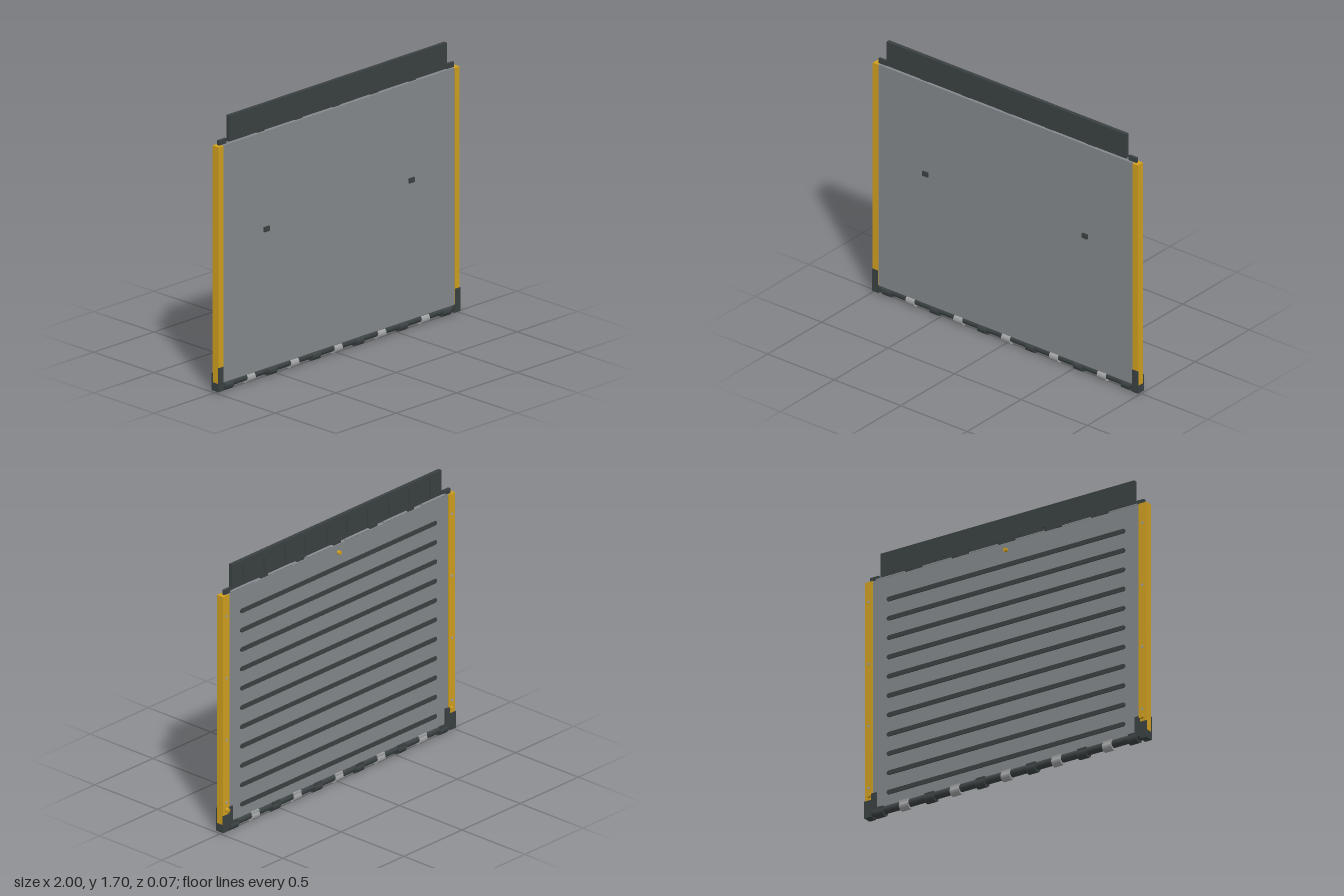
import * as THREE from 'three';

const mat = (name, color) => {
  const m = new THREE.MeshStandardMaterial({ color });
  m.name = name;
  return m;
};

export function createModel() {
  const panelGrey = mat('panel grey', 0x84888c);
  const darkGrey = mat('dark grey', 0x3a4142);
  const yellow = mat('rail yellow', 0xcf9f1f);
  const steel = mat('steel', 0xa0a2a3);
  const root = new THREE.Group();
  root.name = 'loadingPlatform';

  const add = (name, geo, material, x = 0, y = 0, z = 0, parent = root) => {
    const m = new THREE.Mesh(geo, material);
    m.name = name;
    m.position.set(x, y, z);
    parent.add(m);
    return m;
  };
  // box given by its limits
  const box = (name, material, x0, x1, y0, y1, z0, z1, parent = root) =>
    add(name, new THREE.BoxGeometry(Math.abs(x1 - x0), y1 - y0, z1 - z0), material,
      (x0 + x1) / 2, (y0 + y1) / 2, (z0 + z1) / 2, parent);
  const rodX = (r, len) => new THREE.CylinderGeometry(r, r, len, 20).rotateZ(Math.PI / 2);
  const rodZ = (r, len) => new THREE.CylinderGeometry(r, r, len, 16).rotateX(Math.PI / 2);

  // main plate
  box('platformPlate', panelGrey, -0.957, 0.957, 0.06, 1.53, -0.014, 0.025);

  // rounded stiffening ribs on the back
  const s = new THREE.Shape();
  const half = 0.83, r = 0.014;
  s.absarc(half, 0, r, -Math.PI / 2, Math.PI / 2);
  s.absarc(-half, 0, r, Math.PI / 2, Math.PI * 1.5);
  s.closePath();
  const ribGeo = new THREE.ExtrudeGeometry(s, { depth: 0.006, bevelEnabled: false, curveSegments: 6 });
  for (let i = 0; i < 11; i++) add('backRib', ribGeo, darkGrey, 0, 1.385 - i * 0.1245, -0.02);

  // latch knob on the back
  add('latchKnob', rodZ(0.012, 0.02), yellow, 0, 1.48, -0.023);

  for (const side of [-1, 1]) {
    const g = new THREE.Group();
    g.name = side > 0 ? 'leftRail' : 'rightRail';
    root.add(g);
    const b = (name, m, x0, x1, ...rest) => box(name, m, side * x0, side * x1, ...rest, g);

    // side rail with a wider back flange
    b('railBody', yellow, 0.957, 0.997, 0.06, 1.53, -0.021, 0.029);
    b('railFlange', yellow, 0.943, 0.957, 0.06, 1.53, -0.021, -0.014);
    for (const y of [0.2, 0.6, 1.0, 1.4]) add('railScrew', rodZ(0.008, 0.006), steel, side * 0.97, y, -0.022, g);

    // corner bracket: foot, front cheek and back cheek
    b('bracketFoot', darkGrey, 0.953, 1, 0.012, 0.062, -0.024, 0.03);
    b('bracketFront', darkGrey, 0.957, 1, 0.012, 0.16, 0.026, 0.031);
    b('bracketBack', darkGrey, 0.915, 0.952, 0.03, 0.16, -0.024, -0.014);
    b('bracketBackOuter', darkGrey, 0.952, 1, 0.03, 0.12, -0.024, -0.018);
    add('bracketPin', rodZ(0.014, 0.016), yellow, side * 0.965, 0.15, -0.028, g);

    // small stop on the front face
    box('frontStop', darkGrey, side * 0.6 - 0.02, side * 0.6 + 0.02, 0.91, 0.94, 0.025, 0.036);
  }

  // bottom hinge with alternating knuckles
  const hinge = new THREE.Group();
  hinge.name = 'bottomHinge';
  root.add(hinge);
  add('hingeTube', rodX(0.023, 1.92), darkGrey, 0, 0.038, 0, hinge);
  const knuckle = rodX(0.029, 0.064);
  for (let i = -5; i <= 5; i++) {
    const m = i % 2 ? darkGrey : steel;
    add('hingeKnuckle', knuckle, m, i * 0.18, 0.03, 0, hinge);
    box('knuckleLeaf', m, i * 0.18 - 0.032, i * 0.18 + 0.032, 0.03, 0.062, -0.024, -0.014, hinge);
  }

  // upper flap with back ribs and border
  const flap = new THREE.Group();
  flap.name = 'upperFlap';
  root.add(flap);
  box('flapPlate', darkGrey, -0.9, 0.9, 1.54, 1.7, -0.003, 0.021, flap);
  for (let i = 0; i < 10; i++) {
    const x = (i - 4.5) * 0.178;
    box('flapRib', darkGrey, x - 0.006, x + 0.006, 1.56, 1.68, -0.011, -0.003, flap);
  }
  for (let i = 0; i < 6; i++) {
    const x = (i - 2.5) * 0.33;
    add('flapHingeBarrel', rodX(0.008, 0.2), panelGrey, x, 1.534, -0.006, flap);
  }
  for (let i = 0; i < 7; i++) {
    const x = (i - 3) * 0.33 * 0.95;
    box('flapHingeLug', darkGrey, x - 0.03, x + 0.03, 1.525, 1.56, -0.008, 0.01, flap);
  }
  return root;
}
